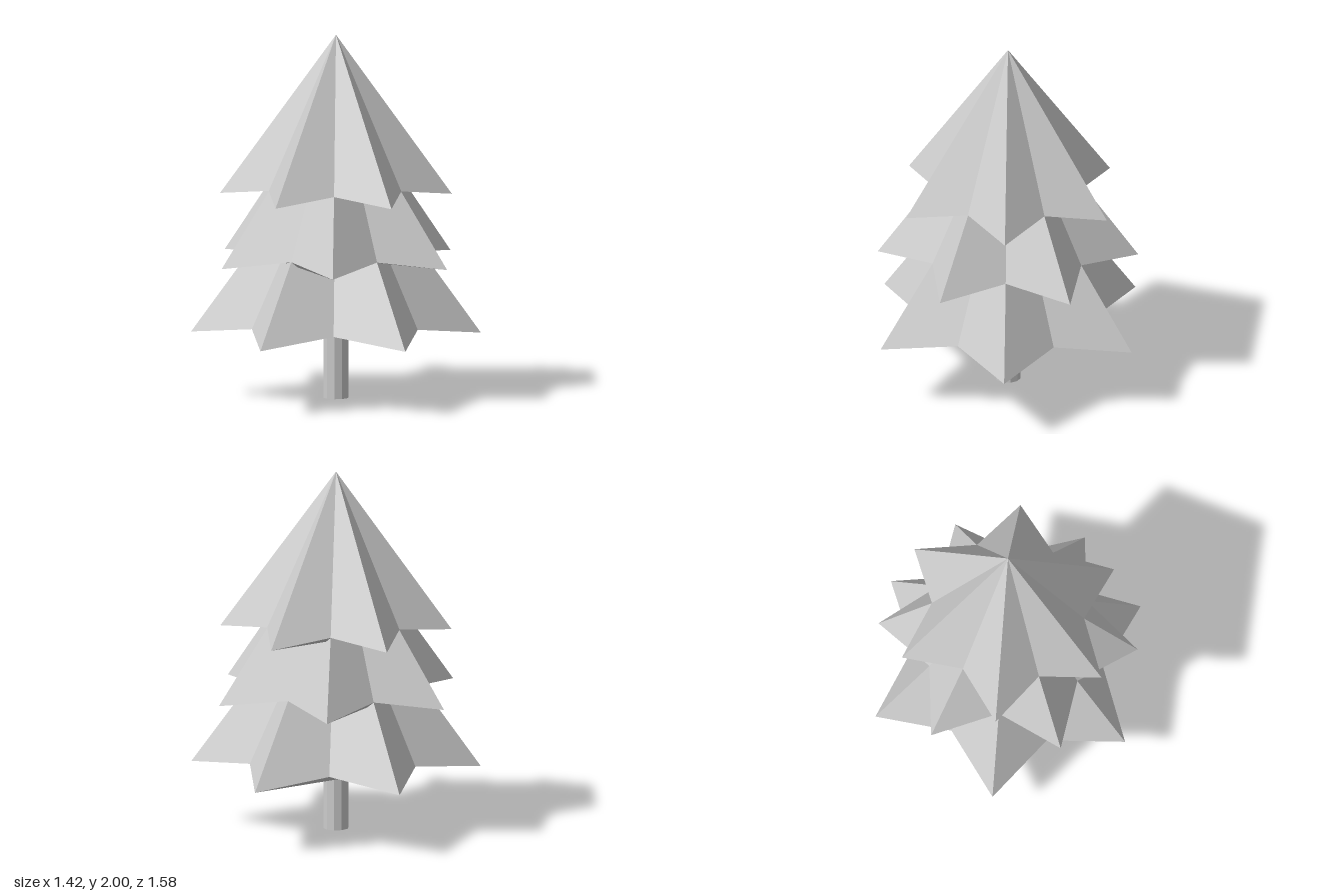
import * as THREE from 'three';

const material = new THREE.MeshStandardMaterial({ color: 0xcccccc, flatShading: true });

// Six-pointed star pyramid: tips droop below the notches, closed underneath.
function starTier({ apexY, tipR, tipY, notchR, notchY, turn }) {
  const rim = [];
  for (let i = 0; i < 12; i++) {
    const a = (i * Math.PI) / 6 + turn;
    const isTip = i % 2 === 0;
    const r = isTip ? tipR : notchR;
    rim.push([r * Math.sin(a), isTip ? tipY : notchY, r * Math.cos(a)]);
  }
  const apex = [0, apexY, 0];
  const pos = [];
  // Sloping sides
  for (let i = 0; i < 12; i++) pos.push(...rim[i], ...rim[(i + 1) % 12], ...apex);
  // Underside, fanned from one back notch
  const hub = 7;
  for (let k = 1; k < 11; k++) {
    pos.push(...rim[hub], ...rim[(hub + k + 1) % 12], ...rim[(hub + k) % 12]);
  }
  const geometry = new THREE.BufferGeometry();
  geometry.setAttribute('position', new THREE.Float32BufferAttribute(pos, 3));
  geometry.computeVertexNormals();
  return geometry;
}

export function createModel() {
  const tree = new THREE.Group();
  tree.name = 'pineTree';

  // Trunk
  const trunkHeight = 0.45;
  const trunk = new THREE.Mesh(new THREE.CylinderGeometry(0.07, 0.07, trunkHeight, 10), material);
  trunk.position.y = trunkHeight / 2;
  trunk.name = 'trunk';
  tree.add(trunk);

  // Foliage, the middle tier turned half a point
  const tiers = {
    lowerFoliage: { apexY: 1.457, tipR: 0.79, tipY: 0.36, notchR: 0.522, notchY: 0.415, turn: 0 },
    middleFoliage: { apexY: 1.745, tipR: 0.71, tipY: 0.76, notchR: 0.468, notchY: 0.808, turn: Math.PI / 6 },
    upperFoliage: { apexY: 2, tipR: 0.632, tipY: 1.125, notchR: 0.417, notchY: 1.17, turn: 0 },
  };
  for (const [name, spec] of Object.entries(tiers)) {
    const tier = new THREE.Mesh(starTier(spec), material);
    tier.name = name;
    tree.add(tier);
  }
  return tree;
}
